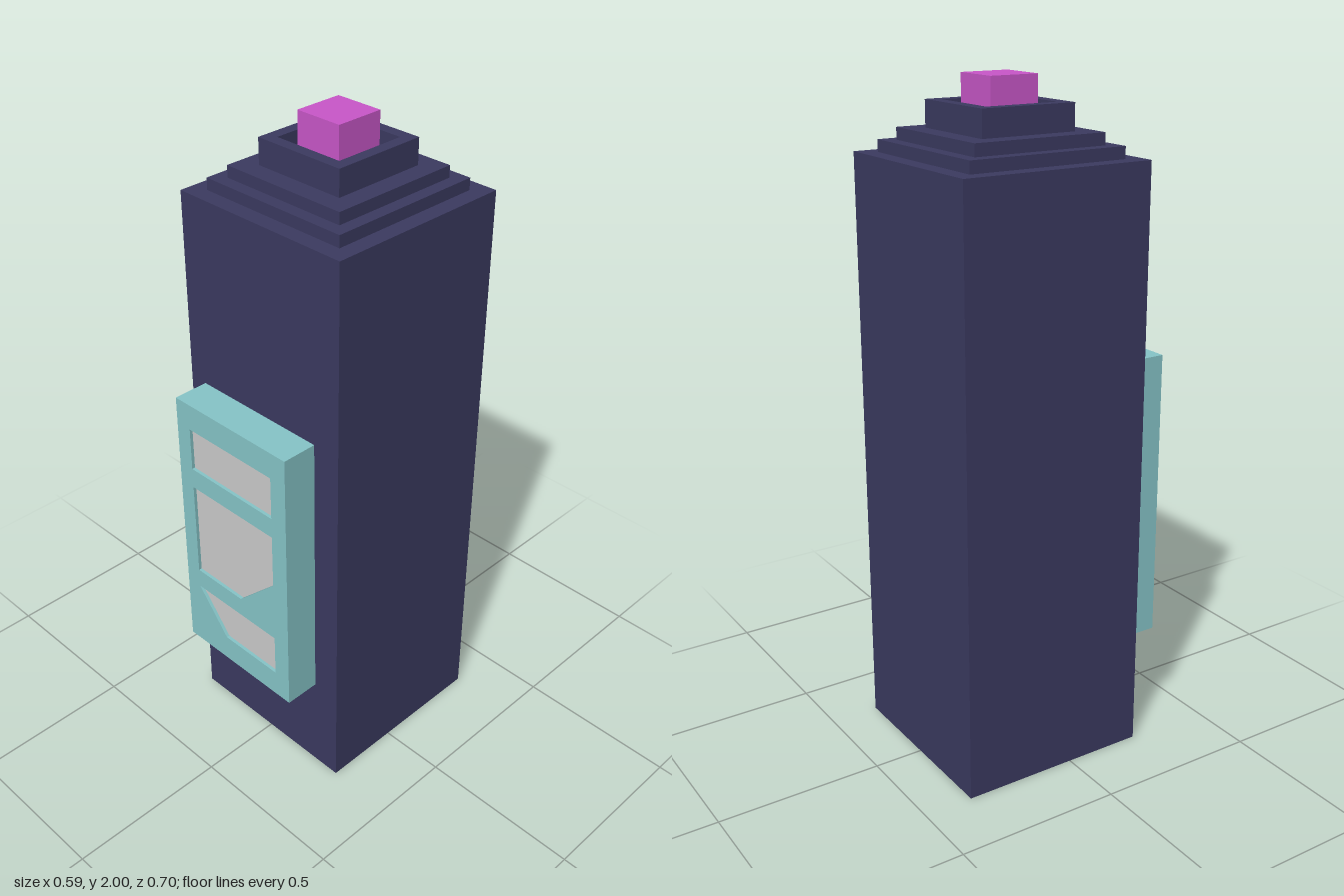
import * as THREE from 'three';

const material = (color) => new THREE.MeshStandardMaterial({ color, flatShading: true });
const polygon = (points, Type = THREE.Shape) => new Type(points.map(([x, y]) => new THREE.Vector2(x, y)));
const square = (h, Type) => polygon([[-h, -h], [h, -h], [h, h], [-h, h]], Type);

export function createModel() {
  const model = new THREE.Group();
  const navy = material(0x3b3a60);
  const teal = material(0x86c5c8);
  const magenta = material(0xc957c9);
  const grey = material(0xcccccc);

  const add = (parent, name, geometry, mat) => {
    const mesh = new THREE.Mesh(geometry, mat);
    mesh.name = name;
    parent.add(mesh);
    return mesh;
  };
  const extrude = (shape, depth) => new THREE.ExtrudeGeometry(shape, { depth, bevelEnabled: false });

  // Square can, set back so that the front panel balances its depth
  const can = new THREE.Group();
  can.name = 'can';
  can.position.z = -0.055;
  model.add(can);
  const block = (name, half, y0, y1, mat) => {
    add(can, name, new THREE.BoxGeometry(half * 2, y1 - y0, half * 2), mat).position.y = (y0 + y1) / 2;
  };
  block('body', 0.295, 0, 1.78, navy);
  block('lowerShoulder', 0.245, 1.78, 1.815, navy);
  block('upperShoulder', 0.206, 1.815, 1.85, navy);

  // Hollow collar around the push button
  const collarShape = square(0.147);
  collarShape.holes.push(square(0.112, THREE.Path));
  const collar = add(can, 'collar', extrude(collarShape, 0.077), navy);
  collar.rotation.x = -Math.PI / 2;
  collar.position.y = 1.85;
  block('button', 0.075, 1.85, 2, magenta);

  // Front panel with three shallow windows
  const windows = [
    [[-0.185, 0.985], [0.148, 0.985], [0.148, 1.122], [-0.185, 1.122]],
    [[-0.185, 0.608], [0.005, 0.608], [0.148, 0.745], [0.148, 0.92], [-0.185, 0.92]],
    [[-0.07, 0.407], [0.148, 0.407], [0.148, 0.545], [-0.185, 0.545]],
  ];
  const panel = new THREE.Group();
  panel.name = 'frontPanel';
  panel.position.z = 0.24;
  model.add(panel);
  const frame = polygon([[-0.238, 0.322], [0.205, 0.322], [0.205, 1.205], [-0.238, 1.205]]);
  frame.holes.push(...windows.map((points) => polygon(points, THREE.Path)));
  add(panel, 'panelFrame', extrude(frame, 0.11), teal);
  windows.forEach((points, i) => add(panel, `panelWindow${i + 1}`, extrude(polygon(points), 0.1), grey));

  return model;
}
